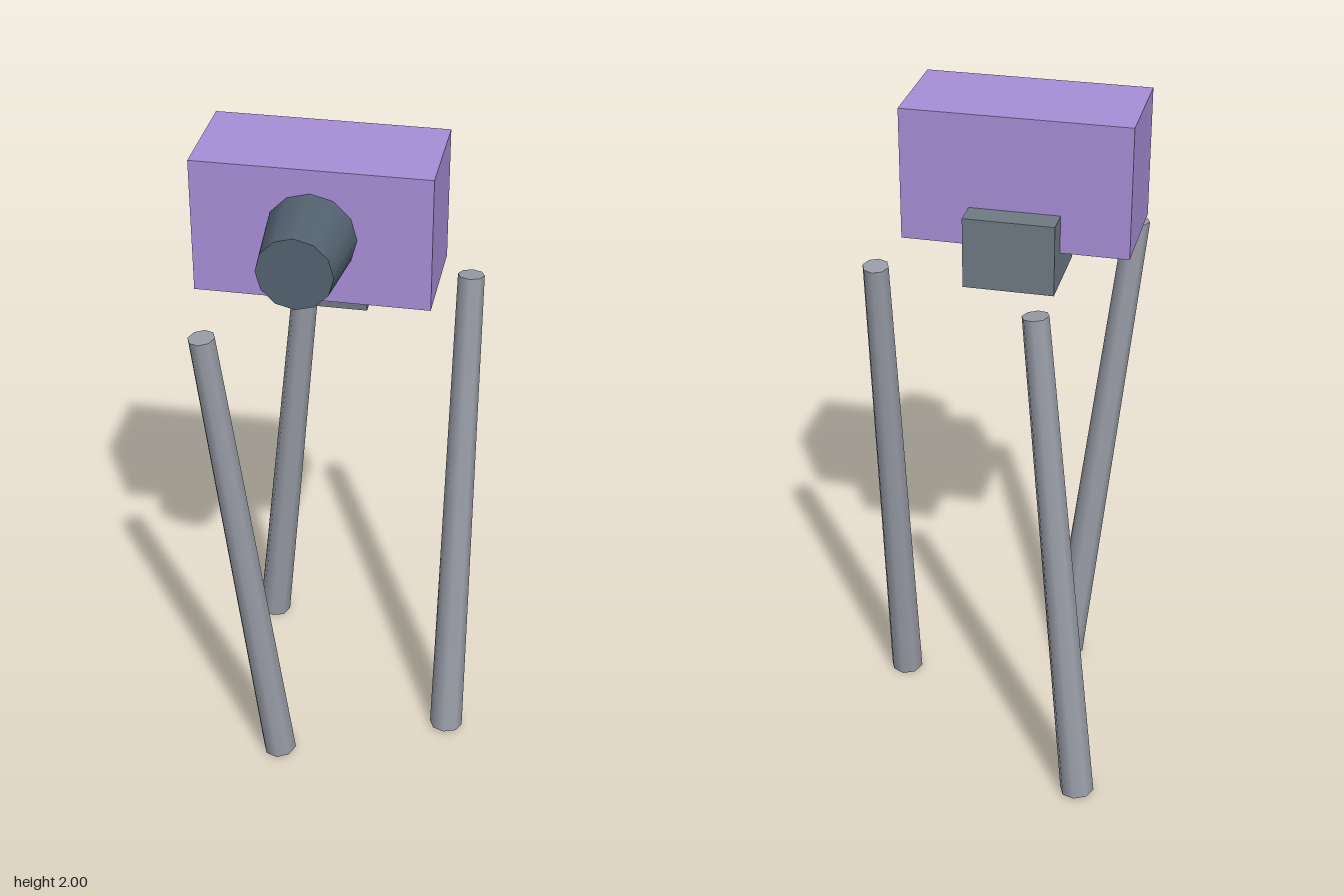
import * as THREE from 'three';

const UP = new THREE.Vector3(0, 1, 0);

export function createModel() {
  const group = new THREE.Group();

  const add = (name, geometry, color, x, y, z) => {
    const mesh = new THREE.Mesh(geometry, new THREE.MeshStandardMaterial({ color }));
    mesh.name = name;
    mesh.position.set(x, y, z);
    group.add(mesh);
    return mesh;
  };

  // Camera body and the mounting block under its back
  add('cameraBody', new THREE.BoxGeometry(0.644, 0.38, 0.31), 0xa98fd9, -0.058, 1.81, 0.085);
  add('mountBlock', new THREE.BoxGeometry(0.257, 0.205, 0.257), 0x707b85, -0.058, 1.628, -0.018);

  // Lens, tapering towards the front
  const lens = add('lens', new THREE.CylinderGeometry(0.102, 0.128, 0.25, 12), 0x546270, -0.058, 1.81, 0.323);
  lens.rotation.x = Math.PI / 2;

  // Tripod legs: top and bottom centres (x, z)
  const legs = [
    ['backLeg', -0.17, -0.308, -0.333, -0.4],
    ['leftLeg', 0.33, -0.11, 0.33, 0.075],
    ['frontLeg', -0.333, 0.363, -0.17, 0.275],
  ];
  for (const [name, tx, tz, bx, bz] of legs) {
    const top = new THREE.Vector3(tx, 1.544, tz);
    const bottom = new THREE.Vector3(bx, 0.006, bz);
    const axis = top.clone().sub(bottom);
    const centre = top.clone().add(bottom).multiplyScalar(0.5);
    const leg = add(name, new THREE.CylinderGeometry(0.038, 0.051, axis.length(), 8), 0x9a9ea8, ...centre.toArray());
    leg.quaternion.setFromUnitVectors(UP, axis.normalize());
  }

  return group;
}
